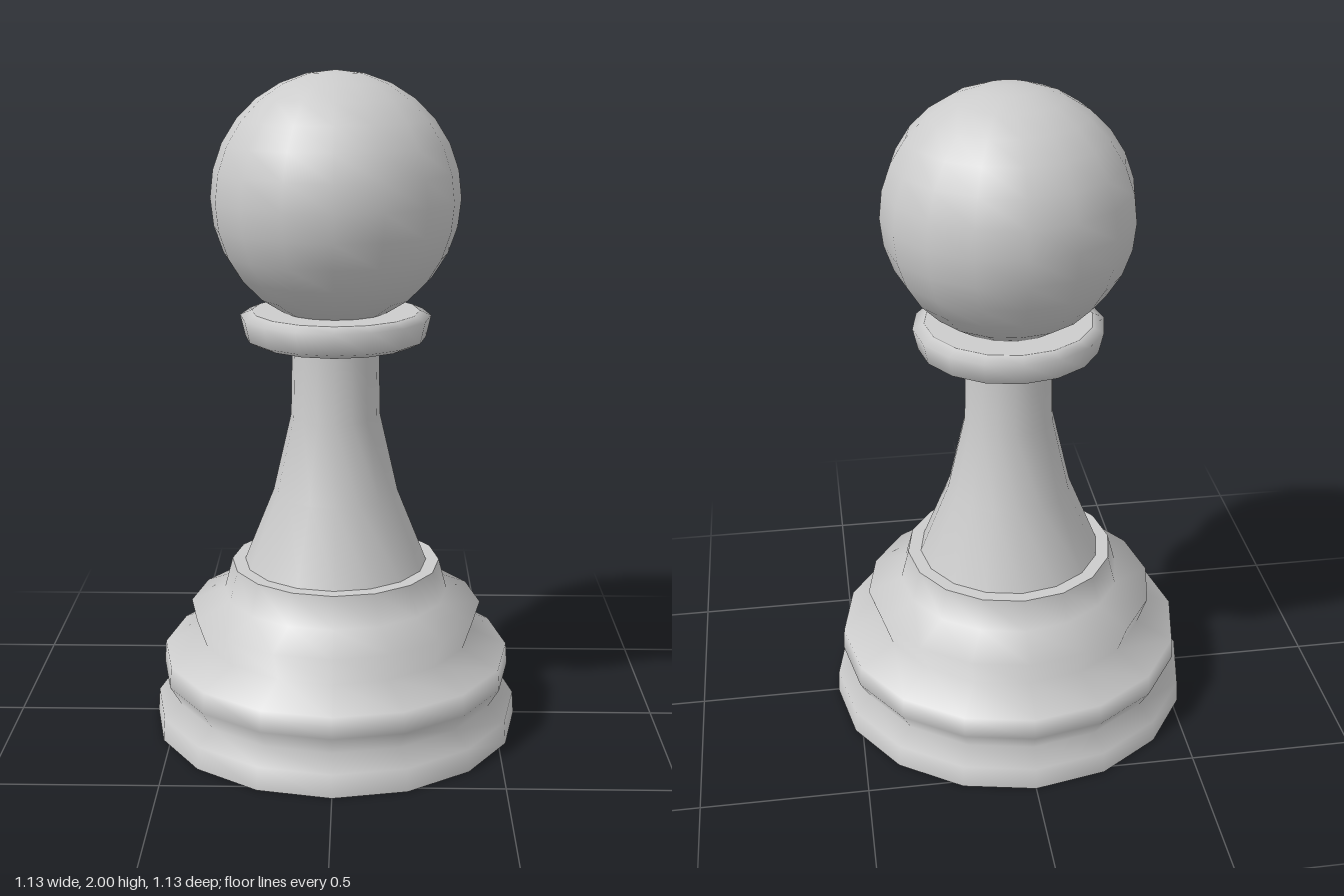
import * as THREE from 'three';

const SIDES = 16;

export function createModel() {
  const group = new THREE.Group();
  const material = new THREE.MeshStandardMaterial({ color: 0xcccccc, side: THREE.DoubleSide });

  // Turned part from [radius, height] pairs, listed bottom to top
  const turn = (name, profile, sides = SIDES) => {
    const points = profile.map(([r, y]) => new THREE.Vector2(r, y));
    const mesh = new THREE.Mesh(new THREE.LatheGeometry(points, sides), material);
    mesh.name = name;
    group.add(mesh);
    return mesh;
  };

  // Hollow base with three stacked ridges, open underneath
  turn('base', [
    [0.565, 0], [0.56, 0.07], [0.505, 0.11], [0.54, 0.17], [0.535, 0.235],
    [0.42, 0.285], [0.45, 0.375], [0.345, 0.42], [0.32, 0.515],
  ]);

  // Flat ledge between the base and the neck
  turn('baseTop', [[0.32, 0.515], [0.26, 0.515]]);

  // Tapering neck
  turn('neck', [[0.28, 0.515], [0.19, 0.74], [0.135, 0.98], [0.13, 1.21]]);

  // Collar under the head: underside, rim and top
  turn('collarUnderside', [[0.1, 1.2], [0.24, 1.205]]);
  turn('collarRim', [[0.24, 1.205], [0.27, 1.22], [0.285, 1.285], [0.25, 1.3]]);
  turn('collarTop', [[0.25, 1.3], [0, 1.3]]);

  // Ball head
  const head = new THREE.Mesh(new THREE.SphereGeometry(0.368, SIDES, 14), material);
  head.name = 'head';
  head.position.y = 1.632;
  group.add(head);

  return group;
}
